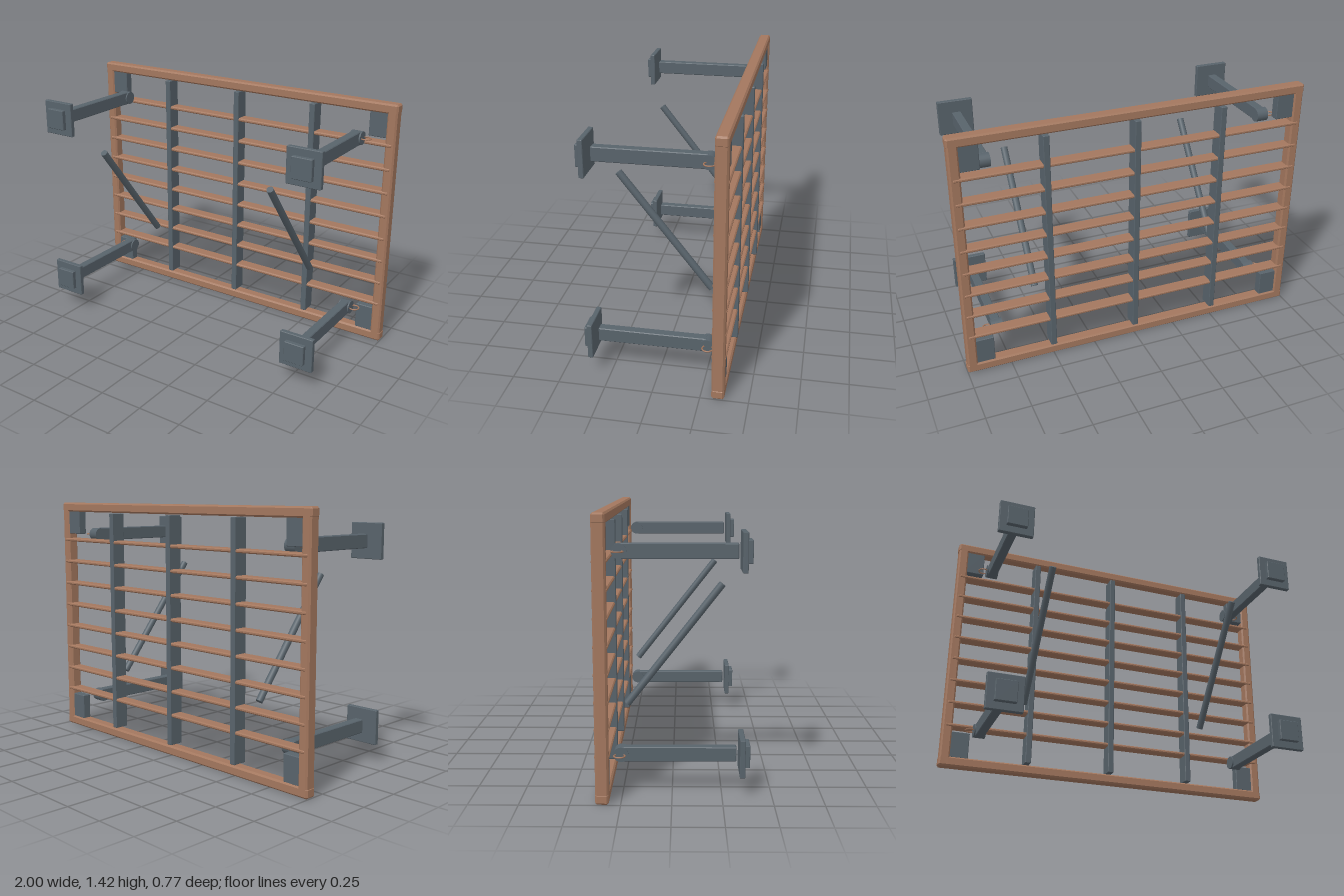
import * as THREE from 'three';
import { ConvexGeometry } from 'three/addons/geometries/ConvexGeometry.js';

const wood = new THREE.MeshStandardMaterial({ name: 'brown wood', color: 0xa3775e });
const steel = new THREE.MeshStandardMaterial({ name: 'grey steel', color: 0x58636b });

// Box with chamfered edges
function chamferBox(w, h, d, c) {
  const points = [];
  for (const x of [-1, 1]) for (const y of [-1, 1]) for (const z of [-1, 1]) {
    for (const [a, b, e] of [[0, c, c], [c, 0, c], [c, c, 0]]) {
      points.push(new THREE.Vector3(x * (w / 2 - a), y * (h / 2 - b), z * (d / 2 - e)));
    }
  }
  return new ConvexGeometry(points);
}

export function createModel() {
  const model = new THREE.Group();
  model.name = 'slattedTable';

  function add(name, geometry, material, x, y, z) {
    const mesh = new THREE.Mesh(geometry, material);
    mesh.name = name;
    mesh.position.set(x, y, z);
    model.add(mesh);
    return mesh;
  }

  const panelZ = -0.341;

  // Outer frame
  for (const y of [0.0275, 1.3915]) add('frameRail', chamferBox(2, 0.055, 0.066, 0.009), wood, 0, y, panelZ);
  for (const x of [-0.969, 0.969]) add('frameStile', chamferBox(0.057, 1.41, 0.066, 0.009), wood, x, 0.7095, panelZ);

  // Horizontal slats
  for (let i = 0; i < 8; i++) {
    add('slat', chamferBox(1.964, 0.02, 0.074, 0.006), wood, 0, 0.237 + i * 0.1362, panelZ);
  }

  // Vertical battens
  for (const x of [-0.5, 0, 0.5]) add('batten', chamferBox(0.034, 1.296, 0.084, 0.003), steel, x, 0.712, panelZ);

  // Corner plates, folding legs and feet
  for (const side of [-1, 1]) {
    for (const top of [false, true]) {
      const y = top ? 1.225 : 0.2;
      add('cornerPlate', chamferBox(0.12, 0.15, 0.05, 0.003), steel, side * 0.9, top ? 1.303 : 0.127, panelZ);

      const x = side * 0.8;
      add('leg', chamferBox(0.05, 0.076, 0.58, 0.004), steel, x, y, 0.034);
      const pivot = add('legPivot', new THREE.CylinderGeometry(0.038, 0.038, 0.066, 20), steel, x, y, -0.258);
      pivot.rotation.z = Math.PI / 2;
      const ring = add('pinRing', new THREE.TorusGeometry(0.028, 0.004, 8, 24), wood, side * 0.85, y, -0.264);
      ring.rotation.x = Math.PI / 2;

      add('footPlate', chamferBox(0.196, 0.196, 0.027, 0.003), steel, side * 0.803, y, 0.351);
      add('footPad', chamferBox(0.116, 0.116, 0.027, 0.003), steel, side * 0.803, y, 0.377);
    }

    // Diagonal brace
    const brace = add('brace', new THREE.CylinderGeometry(0.02, 0.02, 0.81, 12), steel, side * 0.56, 0.712, 0.008);
    brace.rotation.x = Math.atan2(0.495, 0.635);
  }

  return model;
}
